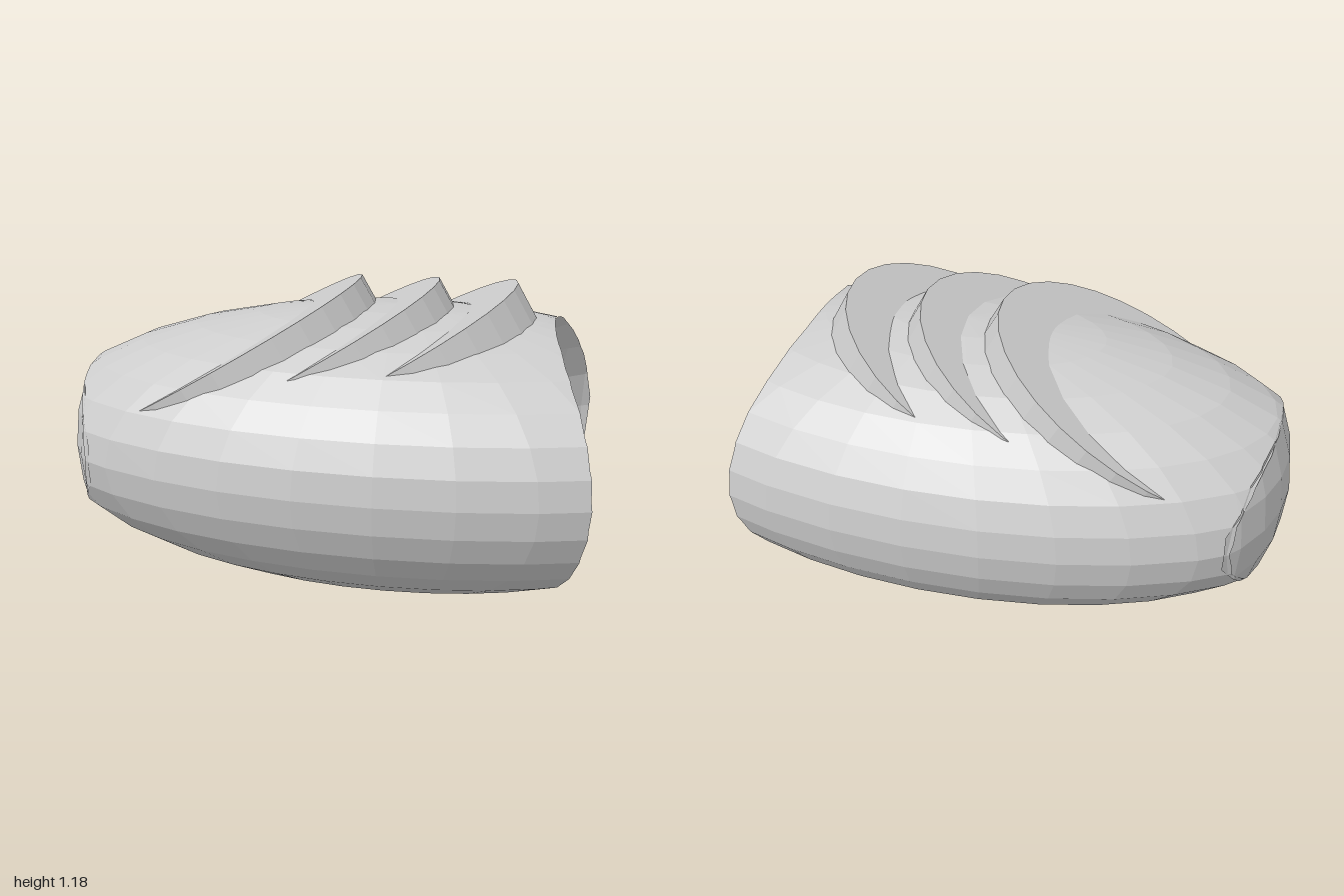
import * as THREE from 'three';

const CY = 0.547;                         // height of the long axis
const R = 0.73;                           // radius of both end spheres
const NOSE_X = -0.27, HOLLOW_X = 1.37;    // centres of the end spheres
const HULL = { x: 0.27, rx: 1.435, ry: 0.543, rz: 0.725 };

const material = new THREE.MeshStandardMaterial({ color: 0xcccccc, flatShading: true });

// Positive inside each bounding shape
const inHull = (p) => 1 - Math.hypot((p.x - HULL.x) / HULL.rx, (p.y - CY) / HULL.ry, p.z / HULL.rz);
const inNose = (p) => R - Math.hypot(Math.min(p.x - NOSE_X, 0), p.y - CY, p.z);
const offHollow = (p) => Math.hypot(Math.min(p.x - HOLLOW_X, 0), p.y - CY, p.z) - R;

// Point where the edge a-b crosses keep(p) = 0
function crossing(a, b, keep) {
  let lo = a.clone(), hi = b.clone();
  const loSign = keep(lo) >= 0;
  for (let i = 0; i < 24; i++) {
    const mid = lo.clone().lerp(hi, 0.5);
    if ((keep(mid) >= 0) === loSign) lo = mid; else hi = mid;
  }
  return lo;
}

// Trim a geometry to keep(p) >= 0, optionally turning it inside out
function trim(geometry, keep, flip = false) {
  const pos = geometry.toNonIndexed().attributes.position;
  const out = [];
  for (let i = 0; i < pos.count; i += 3) {
    const tri = [0, 1, 2].map((k) => new THREE.Vector3().fromBufferAttribute(pos, i + k));
    const poly = [];
    tri.forEach((a, k) => {
      const b = tri[(k + 1) % 3];
      const aIn = keep(a) >= 0, bIn = keep(b) >= 0;
      if (aIn) poly.push(a);
      if (aIn !== bIn) poly.push(crossing(a, b, keep));
    });
    for (let k = 1; k + 1 < poly.length; k++) {
      out.push(poly[0], ...(flip ? [poly[k + 1], poly[k]] : [poly[k], poly[k + 1]]));
    }
  }
  const result = new THREE.BufferGeometry().setFromPoints(out);
  result.computeVertexNormals();
  return result;
}

function ellipsoid(x, rx, ry, rz) {
  return new THREE.SphereGeometry(1, 32, 16).scale(rx, ry, rz).translate(x, CY, 0);
}

export function createModel() {
  const group = new THREE.Group();
  const add = (name, geometry) => {
    const mesh = new THREE.Mesh(geometry, material);
    mesh.name = name;
    group.add(mesh);
    return mesh;
  };

  // Long oval hull, cut by the end spheres
  add('hull', trim(ellipsoid(HULL.x, HULL.rx, HULL.ry, HULL.rz),
    (p) => Math.min(inNose(p), offHollow(p))));

  // Domed closed end
  add('domedEnd', trim(ellipsoid(NOSE_X, R, R, R),
    (p) => Math.min(inHull(p), NOSE_X - p.x)));

  // Scooped end
  add('hollowEnd', trim(ellipsoid(HOLLOW_X, R, R, R),
    (p) => Math.min(inHull(p), HOLLOW_X - p.x), true));

  // Three tilted oval plates rising out of the top, placed by their upper tip
  const length = 0.64, width = 0.515, thickness = 0.29;
  const plate = new THREE.CylinderGeometry(1, 1, thickness, 32)
    .scale(length, 1, width)
    .translate(-length, -thickness / 2, 0)
    .rotateZ(Math.PI / 6);
  [0.11, 0.405, 0.695].forEach((x, i) => {
    add('ridgePlate' + (i + 1), plate).position.set(x, 1.18, 0);
  });

  return group;
}
